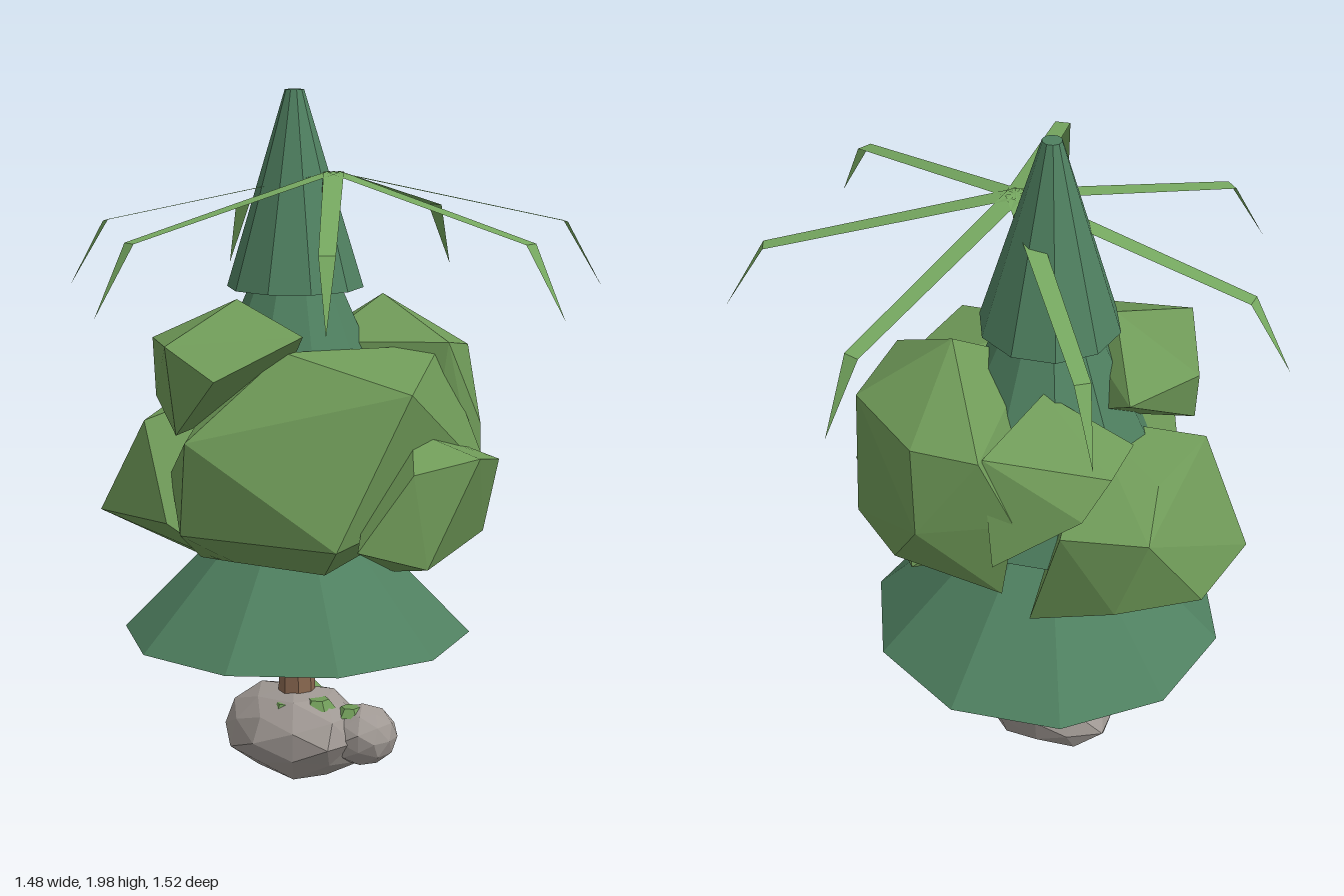
import * as THREE from 'three';
import { ConvexGeometry } from 'three/addons/geometries/ConvexGeometry.js';

const AXIS = -0.18; // x of the common trunk axis
const mat = (color, side = THREE.FrontSide) =>
  new THREE.MeshStandardMaterial({ color, flatShading: true, side });
const pineGreen = mat(0x4f8060);
const leafGreen = mat(0x6f9a58);
const frondGreen = mat(0x76a860, THREE.DoubleSide);
const cactusGreen = mat(0x629a72);
const bark = mat(0x8a6850);
const stone = mat(0x9f9893);

function add(parent, name, geometry, material, x = 0, y = 0, z = 0) {
  const mesh = new THREE.Mesh(geometry, material);
  mesh.name = name;
  mesh.position.set(x, y, z);
  parent.add(mesh);
  return mesh;
}

// Faceted lump spanned by a few corner points
const lump = (points) => new ConvexGeometry(points.map((p) => new THREE.Vector3(...p)));

// Rough stone: a subdivided icosahedron pushed inwards by a smooth rule
function rockGeometry(rx, ry, rz, phase) {
  const g = new THREE.IcosahedronGeometry(1, 1);
  const p = g.attributes.position;
  const v = new THREE.Vector3();
  for (let i = 0; i < p.count; i++) {
    v.fromBufferAttribute(p, i);
    const k = 0.93 + 0.07 * Math.sin(5 * v.x + phase) * Math.cos(4 * v.y + 6 * v.z + phase);
    p.setXYZ(i, v.x * rx * k, v.y * ry * k, v.z * rz * k);
  }
  g.computeVertexNormals();
  return g;
}

// Flat bent leaf along +x: narrow strip, knee, pointed drooping tip
function frondGeometry() {
  const g = new THREE.BufferGeometry();
  g.setAttribute('position', new THREE.Float32BufferAttribute([
    0, 0, 0.028, 0, 0, -0.028,
    0.667, -0.15, 0.022, 0.667, -0.15, -0.022,
    0.778, -0.34, 0,
  ], 3));
  g.setIndex([0, 2, 1, 1, 2, 3, 2, 4, 3]);
  g.computeVertexNormals();
  return g;
}

function buildPine() {
  const pine = new THREE.Group();
  pine.name = 'pine';
  // lower radius, upper radius, base height, top height
  const tiers = [[0.5, 0.08, 0.45, 0.88], [0.37, 0.1, 0.9, 1.52], [0.193, 0.027, 1.45, 2]];
  tiers.forEach(([r0, r1, y0, y1], i) => {
    const g = new THREE.CylinderGeometry(r1, r0, y1 - y0, 10).rotateY(Math.PI / 10);
    add(pine, `pineTier${i + 1}`, g, pineGreen, AXIS, (y0 + y1) / 2);
  });
  add(pine, 'pineTrunk', new THREE.CylinderGeometry(0.05, 0.056, 0.4, 8), bark, AXIS, 0.3);
  return pine;
}

function buildFoliage() {
  const foliage = new THREE.Group();
  foliage.name = 'leafyCrown';
  const clumps = {
    middleClump: [
      [-0.18, 1.07, 0.46], [0.32, 1.21, 0.1], [0.23, 0.8, 0.31], [-0.23, 0.8, 0.43],
      [-0.36, 0.94, 0.33], [-0.05, 1.3, 0.2], [0.12, 1.28, -0.28], [0.27, 0.9, -0.33],
      [-0.1, 0.78, -0.42], [-0.42, 1.2, 0], [-0.13, 0.72, 0.32], [0.13, 0.71, 0.24],
      [-0.1, 0.66, 0], [-0.32, 0.69, 0.25],
    ],
    sideClump: [
      [-0.7, 1.06, -0.1], [-0.715, 0.79, 0.09], [-0.63, 0.8, 0.34], [-0.49, 0.64, 0.08],
      [-0.46, 1.08, 0.33], [-0.3, 0.82, 0.41], [-0.57, 1.11, 0.05], [-0.3, 1.18, 0.05],
      [-0.62, 0.8, -0.14], [-0.4, 0.7, -0.25], [-0.52, 1.05, -0.25], [-0.2, 0.71, 0.3],
    ],
    upperClump: [
      [-0.47, 1.32, 0.03], [-0.47, 1.31, 0.28], [-0.23, 1.43, 0.19], [0.02, 1.35, 0.2],
      [-0.07, 1.25, 0.46], [-0.24, 1.33, 0.47], [-0.24, 1.08, 0.43], [-0.44, 1.15, 0.3],
      [-0.2, 1.15, 0.05],
    ],
    lowerClump: [
      [0.36, 0.73, 0.08], [0.415, 1.02, -0.08], [0.34, 0.98, -0.27], [0.24, 1.09, 0],
      [0.35, 1, 0.13], [0.08, 0.64, -0.12], [0.27, 0.8, 0.27], [0.25, 0.75, -0.32],
      [0.05, 1.1, -0.1], [0.08, 0.68, -0.3],
    ],
    backClump: [
      [-0.04, 1.42, -0.22], [0.19, 1.3, -0.23], [0.1, 1.26, -0.44], [-0.2, 1.27, -0.49],
      [-0.24, 1.03, -0.51], [0.2, 1.05, -0.37], [-0.37, 1.28, -0.4], [-0.05, 0.8, -0.44],
      [-0.38, 0.82, -0.33], [-0.1, 1.3, 0], [0.1, 0.68, -0.2], [0.2, 0.78, -0.38],
      [-0.43, 1.08, -0.33],
    ],
    backSideClump: [
      [-0.55, 1.19, -0.1], [-0.55, 1.1, -0.2], [-0.5, 1.22, 0.02], [-0.36, 1.28, -0.38],
      [-0.4, 0.95, -0.38], [-0.3, 1.34, -0.12], [-0.2, 1, -0.1],
    ],
  };
  for (const [name, points] of Object.entries(clumps)) add(foliage, name, lump(points), leafGreen);
  return foliage;
}

function buildPalm() {
  const palm = new THREE.Group();
  palm.name = 'palm';
  const path = new THREE.CatmullRomCurve3([
    [AXIS, 0.15], [-0.17, 0.6], [-0.12, 1.2], [-0.05, 1.765],
  ].map(([x, y]) => new THREE.Vector3(x, y, 0)));
  add(palm, 'palmTrunk', new THREE.TubeGeometry(path, 8, 0.02, 6), bark);
  const frond = frondGeometry();
  for (let i = 0; i < 7; i++) {
    add(palm, 'frond', frond, frondGreen, -0.038, 1.78).rotation.y = (i * 2 * Math.PI) / 7;
  }
  return palm;
}

function buildCactus() {
  const cactus = new THREE.Group();
  cactus.name = 'cactus';
  add(cactus, 'cactusStem', new THREE.CylinderGeometry(0.04, 0.04, 0.4, 8), cactusGreen, AXIS, 0.45);
  // direction, reach, elbow height, tip height
  for (const [dir, reach, y0, y1] of [[1, 0.15, 0.37, 0.56], [-1, 0.13, 0.46, 0.6]]) {
    const out = new THREE.CylinderGeometry(0.028, 0.028, reach + 0.02, 6).rotateZ(Math.PI / 2);
    add(cactus, 'cactusArm', out, cactusGreen, AXIS + (dir * (reach + 0.02)) / 2, y0);
    const up = new THREE.CylinderGeometry(0.03, 0.03, y1 - y0 + 0.02, 6);
    add(cactus, 'cactusArmTip', up, cactusGreen, AXIS + dir * reach, (y0 + y1) / 2 - 0.01);
  }
  return cactus;
}

function buildRocks() {
  const rocks = new THREE.Group();
  rocks.name = 'rocks';
  add(rocks, 'largeRock', rockGeometry(0.25, 0.145, 0.19, 0.6), stone, -0.19, 0.145);
  add(rocks, 'smallRock', rockGeometry(0.11, 0.095, 0.11, 2), stone, 0.01, 0.15, -0.07);
  // moss patches resting on the stone
  const patches = [[-0.15, 0.24, 0.09, 0.035], [-0.01, 0.225, -0.04, 0.045], [-0.2, 0.27, -0.04, 0.07], [-0.08, 0.25, 0.02, 0.05]];
  for (const [x, y, z, r] of patches) {
    add(rocks, 'moss', new THREE.CylinderGeometry(r * 0.6, r, 0.025, 6), leafGreen, x, y, z);
  }
  return rocks;
}

export function createModel() {
  const model = new THREE.Group();
  model.name = 'forestCluster';
  model.add(buildPine(), buildFoliage(), buildPalm(), buildCactus(), buildRocks());
  return model;
}
